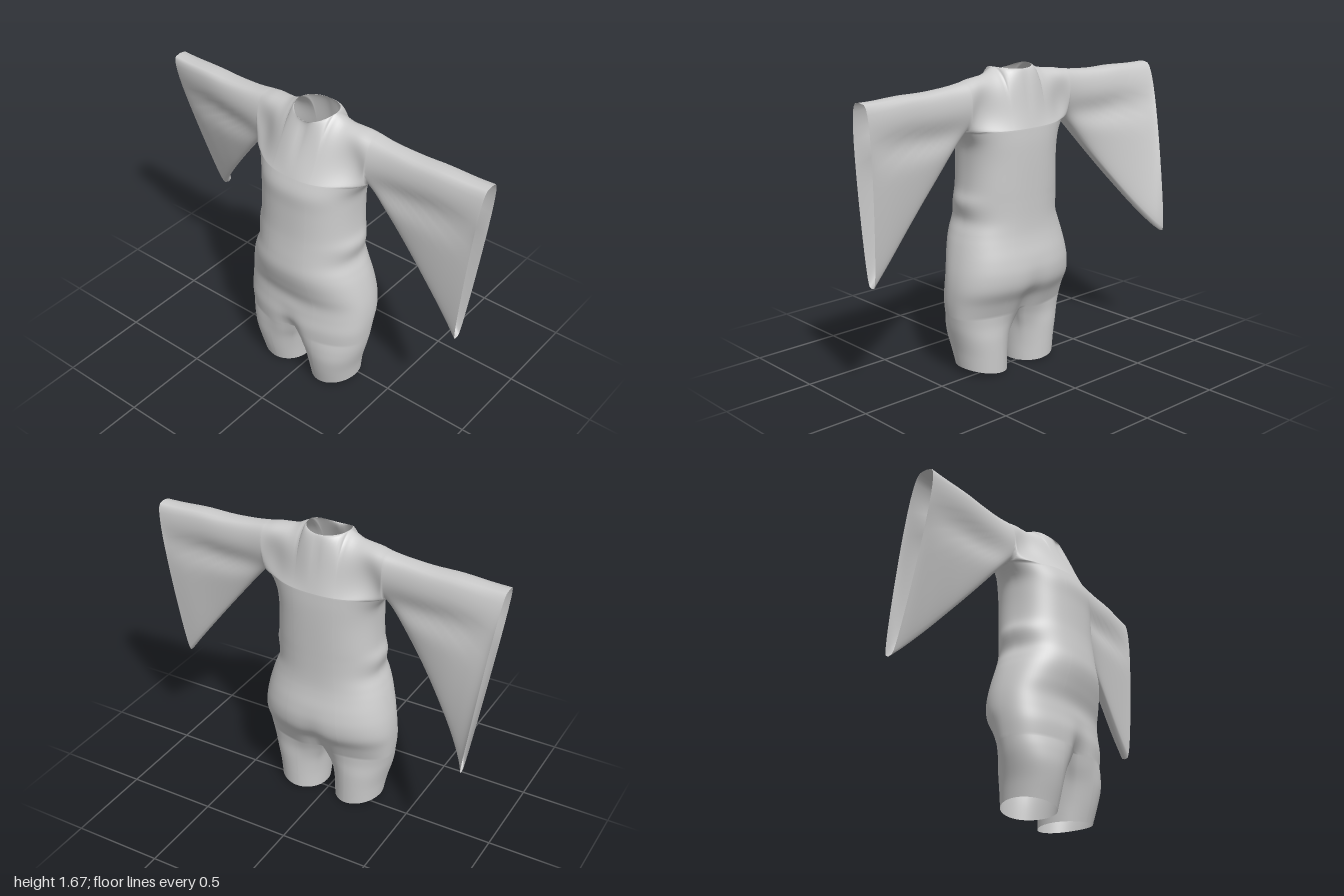
import * as THREE from 'three';

const { lerp, smoothstep } = THREE.MathUtils;

// Smooth lookup in a table of rows, t from 0 to 1
function sample(rows, t) {
  const p = t * (rows.length - 1);
  const i = Math.min(Math.floor(p), rows.length - 2);
  const u = p - i;
  const at = (k) => rows[Math.max(0, Math.min(rows.length - 1, k))];
  return rows[i].map((b, c) => {
    const cc = at(i + 1)[c];
    const m0 = (cc - at(i - 1)[c]) / 2, m1 = (at(i + 2)[c] - b) / 2;
    const u2 = u * u, u3 = u2 * u;
    return (2 * u3 - 3 * u2 + 1) * b + (u3 - 2 * u2 + u) * m0 + (3 * u2 - 2 * u3) * cc + (u3 - u2) * m1;
  });
}

// Surface through rows of points
function sheet(name, rows, flip, material) {
  const n = rows[0].length, index = [];
  for (let i = 0; i < rows.length - 1; i++) {
    for (let j = 0; j < n - 1; j++) {
      const a = i * n + j, b = a + 1, c = a + n, d = c + 1;
      if (flip) index.push(a, c, b, b, c, d);
      else index.push(a, b, c, b, d, c);
    }
  }
  const geometry = new THREE.BufferGeometry();
  geometry.setAttribute('position', new THREE.Float32BufferAttribute(rows.flat(2), 3));
  geometry.setIndex(index);
  geometry.computeVertexNormals();
  const mesh = new THREE.Mesh(geometry, material);
  mesh.name = name;
  return mesh;
}

// Share normals where panels meet, so the seams shade smoothly
function weldNormals(meshes) {
  const sums = new Map(), v = new THREE.Vector3();
  const visit = (fn) => meshes.forEach(({ geometry: g }) => {
    const p = g.attributes.position;
    for (let i = 0; i < p.count; i++) {
      const key = [p.getX(i), p.getY(i), p.getZ(i)].map((c) => Math.round(c * 1e4) + 0).join();
      fn(key, g.attributes.normal, i);
    }
  });
  visit((key, normal, i) => {
    if (!sums.has(key)) sums.set(key, new THREE.Vector3());
    sums.get(key).add(v.fromBufferAttribute(normal, i));
  });
  visit((key, normal, i) => {
    v.copy(sums.get(key)).normalize();
    normal.setXYZ(i, v.x, v.y, v.z);
  });
}

// Torso: y, half width, flare at the side seam, side z, front z, back z, front cleft, back cleft
const TORSO = [
  [0.34, 0.375, 0, 0.05, 0.262, -0.115, 0.05, 0.04],
  [0.42, 0.383, 0, 0.05, 0.265, -0.15, 0.015, 0.03],
  [0.5, 0.385, 0, 0.04, 0.255, -0.197, 0, 0.012],
  [0.58, 0.378, 0, 0.04, 0.25, -0.211, 0, 0.004],
  [0.66, 0.362, 0, 0.04, 0.272, -0.203, 0, 0],
  [0.74, 0.34, 0, 0.04, 0.293, -0.186, 0, 0],
  [0.8, 0.318, 0, 0.04, 0.3, -0.177, 0, 0],
  [0.87, 0.293, 0, 0.04, 0.293, -0.174, 0, 0],
  [0.96, 0.288, 0.02, 0.04, 0.28, -0.175, 0, 0],
  [1.04, 0.286, 0.003, 0.03, 0.272, -0.177, 0, 0],
  [1.18, 0.284, 0, 0.03, 0.266, -0.18, 0, 0],
  [1.28, 0.288, 0.008, 0.015, 0.265, -0.18, 0, 0],
  [1.355, 0.295, 0.055, 0, 0.24, -0.176, 0, 0],
];
// Shoulder line: x, y
const SHOULDER = [[0.12, 1.666], [0.1775, 1.637], [0.235, 1.628], [0.2925, 1.622], [0.35, 1.612]];
// Sleeve: top x, top y, bottom x, bottom y, half depth, taper, top z, bottom z
const SLEEVE = [
  [0.35, 1.612, 0.35, 1.355, 0.085, 0, -0.02, 0],
  [0.45, 1.599, 0.43, 1.265, 0.085, 0.15, -0.02, 0],
  [0.6, 1.59, 0.555, 1.11, 0.09, 0.4, -0.023, 0],
  [0.75, 1.592, 0.69, 0.94, 0.09, 0.5, -0.027, 0.005],
  [0.9, 1.588, 0.83, 0.76, 0.087, 0.5, -0.033, 0.01],
  [1, 1.59, 0.92, 0.64, 0.083, 0.5, -0.038, 0.02],
];
// Leg: y, inner x, outer x, back z, front z, roundness
const LEG = [
  [0.0, 0.037, 0.31, -0.095, 0.2, 1],
  [0.1, 0.03, 0.325, -0.097, 0.225, 1],
  [0.2, 0.018, 0.347, -0.1, 0.245, 0.85],
  [0.28, 0.006, 0.365, -0.104, 0.257, 0.4],
  [0.34, 0, 0.375, -0.115, 0.262, 0],
];
const ARMHOLE = 0.35, NECK = 0.12, NECK_F = NECK / 0.295, STEPS = 20;

// Column positions across half the width, closer together at neck side and armhole
const half = [];
for (let k = 0; k < 8; k++) half.push(NECK_F * Math.sin((k / 8) * Math.PI / 2));
for (let k = 0; k <= 16; k++) half.push(lerp(NECK_F, 1, Math.sin((k / 16) * Math.PI / 2)));
const columns = [...half.slice(1).reverse().map((f) => -f), ...half];

function torsoPoint(t, f, side) {
  const [y, w, flare, zc, front, back, cleftF, cleftB] = sample(TORSO, t);
  const x = f * (w + flare * f ** 6);
  const r = Math.pow(Math.max(0, 1 - Math.pow(Math.abs(f), 2.3)), 1 / 2.3);
  const dent = Math.exp(-((x / 0.06) ** 2));
  const z = side > 0 ? zc + (front - zc) * r - cleftF * dent : zc + (back - zc) * r + cleftB * dent;
  return [x, y, z];
}

const armCurve = (j, power) => Math.pow(Math.max(0, Math.sin((j / STEPS) * Math.PI)), power);
const rise = (j) => (1 - Math.cos((j / STEPS) * Math.PI)) / 2;

// Chest and upper back, from armpit height to neckline and shoulder seam
function yokePoint(j, f, side) {
  const [x, y0, z0] = torsoPoint(1, f, side);
  const ax = Math.abs(x), af = Math.abs(f), v = rise(j);
  const s = Math.min(1, Math.max(0, (ax - NECK) / (ARMHOLE - NECK)));
  const q = Math.max(0, 1 - (af / NECK_F) ** 2);
  const dip = (side > 0 ? 0.038 : 0.01) * q;
  const seamZ = lerp(0.01, -0.02, s);
  // the sharp neck edge only shows near the top; below it a soft slope carries the chest
  const softZ = seamZ + side * 0.11 * Math.exp(-((ax / 0.13) ** 2));
  const z1 = lerp(softZ, seamZ + side * 0.11 * Math.sqrt(q), v ** 4);
  const y1 = lerp(1.64, sample(SHOULDER, s)[1] - dip, lerp(v ** 2, 1, s));
  const shape = lerp(3.5 * v * v * Math.sqrt(Math.max(0, 1 - v)), armCurve(j, 0.7), af ** 8);
  const bulge = side > 0 ? lerp(-0.02, 0.085, af) : lerp(0.005, 0.085, af);
  const keep = Math.pow(1 - v, 1 + 3 * af ** 6);
  return [x, lerp(y0, y1, v), z0 * keep + z1 * v + side * bulge * shape];
}

function bodiceRows(side) {
  const rows = [];
  for (let i = 0; i < 60; i++) rows.push(columns.map((f) => torsoPoint(i / 60, f, side)));
  for (let j = 0; j <= STEPS; j++) rows.push(columns.map((f) => yokePoint(j, f, side)));
  return rows;
}

// Bell sleeve; the one on -x is swept backward at its tip
function sleeveRows(s) {
  const rows = [];
  for (let i = 0; i <= 30; i++) {
    const t = i / 30;
    const [xt, yt, xb, yb, depth, taper, zt, zb] = sample(SLEEVE, t);
    const sweep = s < 0 ? 0.3 * t * t : 0;
    const power = lerp(0.7, 0.45, smoothstep(t, 0, 0.6));
    const ring = [];
    for (let k = 0; k <= 2 * STEPS; k++) {
      const side = k <= STEPS ? 1 : -1;
      const j = k <= STEPS ? k : 2 * STEPS - k;
      const v = rise(j), y = lerp(yb, yt, v);
      const fold = 1 - 0.4 * Math.sin(Math.PI * t) * Math.exp(-(((yt - y - 0.23) / 0.07) ** 2));
      const thick = depth * armCurve(j, power) * (1 - taper * (1 - v)) * fold;
      ring.push([s * lerp(xb, xt, v), y, lerp(zb - sweep, zt, v) + side * thick]);
    }
    rows.push(ring);
  }
  return rows;
}

// Leg, from a round hem up to half of the hip section closed along the middle
function legRows(s) {
  const top = [...half.map((f) => torsoPoint(0, f, 1)), ...half.slice(0, -1).reverse().map((f) => torsoPoint(0, f, -1))];
  const zFront = top[0][2], zBack = top[top.length - 1][2];
  for (let k = 1; k <= 12; k++) top.push([0, 0.34, lerp(zBack, zFront, k / 12)]);
  const [, in0, out0, b0, f0] = LEG[LEG.length - 1];
  const rows = [];
  for (let i = 0; i <= 24; i++) {
    const [y, xin, xout, back, front, round] = sample(LEG, i / 24);
    rows.push(top.map(([px, , pz]) => {
      const u = (px - (in0 + out0) / 2) / ((out0 - in0) / 2);
      const w = (pz - (b0 + f0) / 2) / ((f0 - b0) / 2);
      const a = Math.atan2(w, u);
      const x = (xin + xout) / 2 + (xout - xin) / 2 * lerp(u, Math.cos(a), round);
      const z = (back + front) / 2 + (front - back) / 2 * lerp(w, Math.sin(a), round);
      const hem = 0.035 * (x / 0.31) ** 2 * (1 - smoothstep(i / 24, 0, 0.7));
      return [s * x, y + hem, z];
    }));
  }
  return rows;
}

export function createModel() {
  const cloth = new THREE.MeshStandardMaterial({ color: 0xcccccc, side: THREE.DoubleSide });
  const parts = [
    sheet('bodiceFront', bodiceRows(1), false, cloth),
    sheet('bodiceBack', bodiceRows(-1), true, cloth),
  ];
  for (const [s, label] of [[1, 'left'], [-1, 'right']]) {
    parts.push(sheet(label + 'Sleeve', sleeveRows(s), s > 0, cloth));
    parts.push(sheet(label + 'Leg', legRows(s), s < 0, cloth));
  }
  weldNormals(parts);
  const garment = new THREE.Group();
  garment.name = 'garment';
  garment.add(...parts);
  return garment;
}
